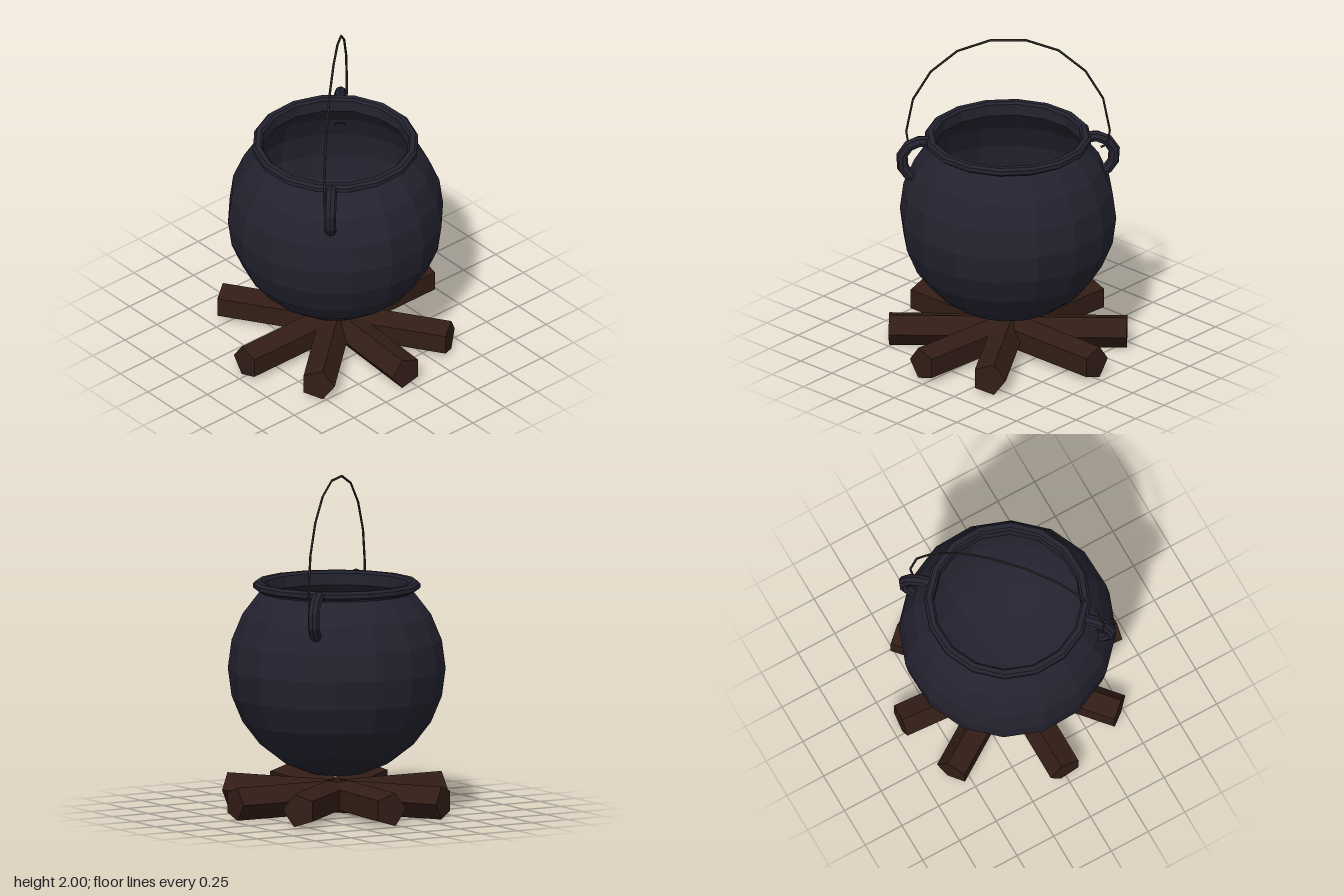
import * as THREE from 'three';

const iron = new THREE.MeshStandardMaterial({ color: 0x23222f, flatShading: true });
const wood = new THREE.MeshStandardMaterial({ color: 0x321d16, flatShading: true });
const wire = new THREE.MeshStandardMaterial({ color: 0x333230, flatShading: true });
const rad = THREE.MathUtils.degToRad;

function add(parent, name, geometry, material) {
  const mesh = new THREE.Mesh(geometry, material);
  mesh.name = name;
  parent.add(mesh);
  return mesh;
}

// Angular tube whose rings sit exactly on the given [x, y] points
function bentTube(points, radius, sides) {
  const curve = new THREE.CatmullRomCurve3(points.map(([x, y]) => new THREE.Vector3(x, y, 0)));
  curve.getPointAt = (u, target) => curve.getPoint(u, target);
  curve.getTangentAt = (u, target) => curve.getTangent(u, target);
  return new THREE.TubeGeometry(curve, points.length - 1, radius, sides);
}

// Arc of a sphere profile, in 15 degree steps
function arc(radius, centerY, from, to) {
  const pts = [];
  const step = from < to ? 15 : -15;
  for (let a = from; step > 0 ? a <= to : a >= to; a += step) {
    pts.push(new THREE.Vector2(
      Math.max(0, radius * Math.cos(rad(a))), centerY + radius * Math.sin(rad(a))));
  }
  return pts;
}

export function createModel() {
  const model = new THREE.Group();
  model.name = 'cauldronOnLogs';

  // Hollow pot: outer wall up, rolled lip, inner wall down
  const lip = [[0.46, 1.328], [0.48, 1.328], [0.495, 1.34], [0.495, 1.365], [0.48, 1.38],
    [0.45, 1.38], [0.437, 1.365], [0.437, 1.33]].map(([x, y]) => new THREE.Vector2(x, y));
  const profile = [...arc(0.645, 0.86, -90, 45), ...lip, ...arc(0.615, 0.86, 45, -90)];
  const pot = add(model, 'pot', new THREE.LatheGeometry(profile, 16), iron);
  pot.rotation.y = rad(13.4);

  // Two curved side handles
  const earPath = [[0.45, 1.345], [0.53, 1.346], [0.59, 1.32], [0.63, 1.26],
    [0.625, 1.185], [0.59, 1.135], [0.54, 1.11]];
  [46.5, 226.5].forEach((angle, i) => {
    const ear = new THREE.Group();
    ear.name = i ? 'leftHandle'.replace('left', 'right') : 'leftHandle';
    ear.rotation.y = rad(angle);
    add(ear, 'handleLoop', bentTube(earPath, 0.035, 8), iron);
    const cap = add(ear, 'handleEnd', new THREE.CircleGeometry(0.035, 8), iron);
    cap.position.set(0.45, 1.345, 0);
    cap.rotation.y = -Math.PI / 2;
    model.add(ear);
  });

  // Thin wire bail with ends hooked under the handles
  const half = [[0.55, 1.29], [0.59, 1.31], [0.603, 1.4], [0.563, 1.61],
    [0.458, 1.79], [0.3, 1.925], [0.107, 1.993]];
  const bailPath = [...half, ...half.slice().reverse().map(([x, y]) => [-x, y])];
  const bail = add(model, 'bail', bentTube(bailPath, 0.007, 6), wire);
  bail.rotation.y = rad(43);

  // Four five-sided logs crossing under the pot
  const logs = new THREE.Group();
  logs.name = 'firewood';
  [0, 86, -57, 220.7].forEach((angle, i) => {
    const geo = new THREE.CylinderGeometry(0.103, 0.103, 1.41, 5);
    geo.rotateY(Math.PI); // one corner points sideways
    geo.rotateZ(Math.PI / 2);
    const log = add(logs, 'log' + (i + 1), geo, wood);
    log.position.y = 0.098;
    log.rotation.y = rad(angle);
  });
  model.add(logs);
  return model;
}
